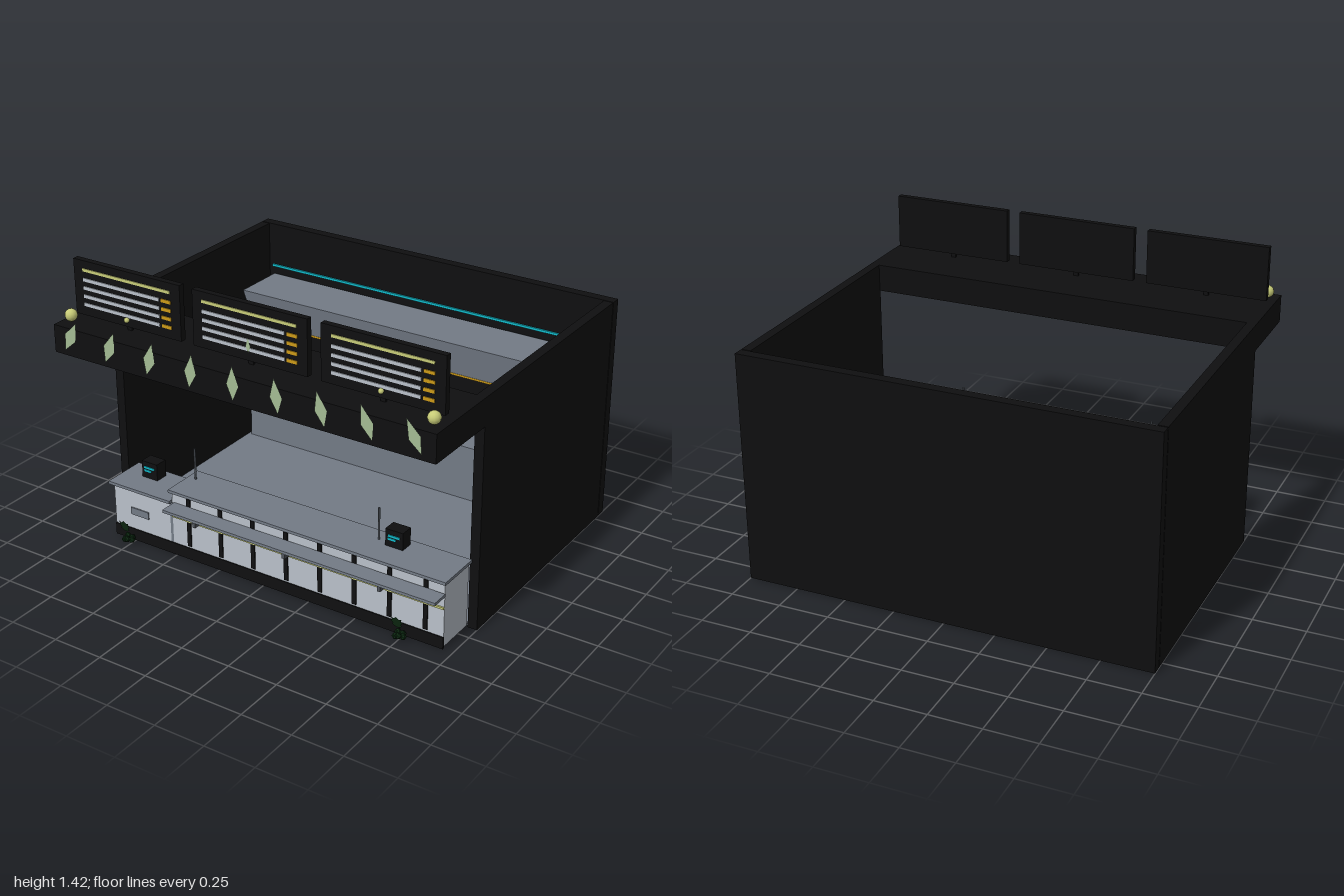
import * as THREE from 'three';

const mat = (name, color, double) => {
  const m = new THREE.MeshStandardMaterial({ color });
  m.name = name;
  if (double) m.side = THREE.DoubleSide;
  return m;
};

export function createModel() {
  const black = mat('black', 0x0f0f10);
  const slate = mat('slate', 0x737b86);
  const pale = mat('paleGrey', 0xbac1ca);
  const steel = mat('steel', 0x50555c);
  const cyan = mat('cyan', 0x10bccc);
  const yellow = mat('paleYellow', 0xc8cc78);
  const amber = mat('amber', 0xcc9a18);
  const leafGreen = mat('leafGreen', 0xa4bc94, true);
  const darkGreen = mat('darkGreen', 0x0d2a12, true);

  const root = new THREE.Group();
  root.name = 'foodKiosk';

  const add = (name, geo, m, parent = root) => {
    const mesh = new THREE.Mesh(geo, m);
    mesh.name = name;
    parent.add(mesh);
    return mesh;
  };
  // Box given by its limits on each axis
  const box = (name, m, x0, x1, y0, y1, z0, z1, parent = root) => {
    const mesh = add(name, new THREE.BoxGeometry(x1 - x0, y1 - y0, z1 - z0), m, parent);
    mesh.position.set((x0 + x1) / 2, (y0 + y1) / 2, (z0 + z1) / 2);
    return mesh;
  };
  const group = (name, x = 0, y = 0, z = 0) => {
    const g = new THREE.Group();
    g.name = name;
    g.position.set(x, y, z);
    root.add(g);
    return g;
  };
  const polygon = (pts) => new THREE.ShapeGeometry(new THREE.Shape(pts.map(([x, y]) => new THREE.Vector2(x, y))));

  // Shell: floor, walls and front canopy, open at the top and front
  box('floor', slate, -0.953, 0.953, 0, 0.01, -0.788, 0.42);
  box('backWall', black, -1, 1, 0, 1.135, -0.838, -0.788);
  box('rightWall', black, -1, -0.953, 0, 1.135, -0.783, 0.43);
  box('leftWall', black, 0.953, 1, 0, 1.135, -0.783, 0.43);
  box('canopy', black, -1, 1, 1.0, 1.135, 0.425, 0.83);
  box('canopyLightPanel', cyan, -0.92, 0.92, 0.995, 1.0, 0.45, 0.775);

  // Light strips on the back wall
  for (const y of [0.307, 0.607, 0.908]) box('wallLightStrip', cyan, -0.935, 0.935, y - 0.006, y + 0.006, -0.788, -0.779);

  // Back counter and the extractor hood, which narrows downwards
  box('backCounter', slate, -0.935, 0.935, 0.01, 0.3, -0.775, -0.56);
  const hoodGeo = new THREE.BoxGeometry(1.83, 0.17, 0.28);
  const p = hoodGeo.attributes.position;
  for (let i = 0; i < p.count; i++) {
    if (p.getY(i) < 0) p.setXYZ(i, p.getX(i) * 0.962, p.getY(i), p.getZ(i) * 0.8);
  }
  hoodGeo.computeVertexNormals();
  add('extractorHood', hoodGeo, slate).position.set(0, 0.785, -0.63);
  box('hoodLightStrip', amber, -0.865, 0.865, 0.694, 0.704, -0.525, -0.515);

  // Main front counter
  box('mainCounterBody', pale, -0.52, 0.95, 0.01, 0.335, 0.433, 0.637);
  box('mainCounterTop', slate, -0.525, 0.965, 0.335, 0.35, 0.433, 0.66);
  for (let i = 0; i < 8; i++) {
    const x = -0.423 + i * 0.183;
    box('counterSlat', black, x - 0.011, x + 0.011, 0.07, 0.32, 0.637, 0.642);
  }
  box('counterStripe', yellow, -0.52, 0.95, 0.201, 0.211, 0.637, 0.645);

  // Customer shelf on brackets
  box('trayShelf', slate, -0.505, 0.955, 0.268, 0.282, 0.642, 0.73);
  for (const x of [-0.33, 0.17, 0.67]) box('shelfBracket', steel, x - 0.008, x + 0.008, 0.238, 0.268, 0.637, 0.722);

  // Low side counter
  box('lowCounterBody', pale, -0.87, -0.535, 0.01, 0.275, 0.433, 0.637);
  box('lowCounterTop', slate, -0.885, -0.52, 0.275, 0.29, 0.433, 0.66);
  box('counterJoint', slate, -0.535, -0.52, 0.01, 0.275, 0.433, 0.637);
  box('lowCounterPlate', slate, -0.77, -0.665, 0.138, 0.175, 0.637, 0.643);
  box('kickPlate', black, -0.87, 0.95, 0, 0.06, 0.633, 0.642);

  // Tills with small lit screens
  for (const [x, y] of [[-0.735, 0.29], [0.63, 0.35]]) {
    const till = group('till', x, y, 0.5);
    box('tillBody', black, -0.045, 0.045, 0, 0.085, -0.033, 0.033, till);
    box('screenLine', cyan, -0.03, 0.03, 0.05, 0.06, 0.033, 0.037, till);
    box('screenLine', cyan, -0.03, 0.01, 0.034, 0.044, 0.033, 0.037, till);
  }

  // Counter poles
  for (const x of [-0.48, 0.535]) {
    add('counterPole', new THREE.CylinderGeometry(0.005, 0.005, 0.16, 8), steel).position.set(x, 0.43, 0.505);
  }

  // Menu boards above the canopy
  for (const x of [-0.67, -0.002, 0.665]) {
    const board = group('menuBoard', x, 1.155, 0.69);
    box('boardPanel', black, -0.3, 0.3, 0, 0.265, -0.016, 0.014, board);
    box('boardPost', black, -0.012, 0.012, -0.02, 0, -0.008, 0.004, board);
    box('headingLine', yellow, -0.247, 0.247, 0.214, 0.228, 0.014, 0.018, board);
    for (let i = 0; i < 4; i++) {
      const y = 0.174 - i * 0.04;
      box('menuLine', pale, -0.247, 0.185, y - 0.008, y + 0.008, 0.014, 0.018, board);
      box('priceMark', amber, 0.197, 0.25, y - 0.008, y + 0.008, 0.014, 0.018, board);
    }
  }

  // Row of leaves fanning across the canopy edge
  const leafGeo = polygon([[0, 0.085], [-0.032, -0.005], [0, -0.078], [0.032, -0.005]]);
  for (let i = -4; i <= 4; i++) {
    const leaf = add('canopyLeaf', leafGeo, leafGreen);
    leaf.position.set(i * 0.225, 1.097, 0.835);
    leaf.rotation.z = i * 0.115;
  }
  // Small ornaments in front of the boards
  const centreLeaf = add('boardLeaf', leafGeo, leafGreen);
  centreLeaf.scale.setScalar(0.42);
  centreLeaf.position.set(-0.003, 1.228, 0.712);
  for (const x of [-0.67, 0.665]) {
    add('boardBead', new THREE.IcosahedronGeometry(0.013, 1), yellow).position.set(x, 1.19, 0.712);
  }

  // Globe lamps, and plants at the foot of the counter
  for (const s of [-1, 1]) {
    add('globeLamp', new THREE.SphereGeometry(0.03, 12, 8), yellow).position.set(s * 0.95, 1.17, 0.765);
    const plant = group('plant', s * 0.757, 0, 0.685);
    for (let i = 0; i < 5; i++) {
      const a = (i / 5) * Math.PI * 2;
      const clump = add('foliageClump', new THREE.IcosahedronGeometry(0.016, 0), darkGreen, plant);
      clump.position.set(Math.cos(a) * 0.018, 0.026 + (i % 2) * 0.01, Math.sin(a) * 0.02);
    }
    // Jagged frond leaning forward
    const edge = [[0.008, 0], [0.024, 0.012], [0.02, 0.022], [0.03, 0.034], [0.022, 0.04], [0.028, 0.056], [0.012, 0.05]];
    const mirrored = edge.map(([x, y]) => [-x, y]).reverse();
    const frond = add('frond', polygon([...edge, [0, 0.062], ...mirrored]), darkGreen, plant);
    frond.position.set(0, 0.078, 0.018);
    frond.rotation.x = 0.25;
  }
  return root;
}
